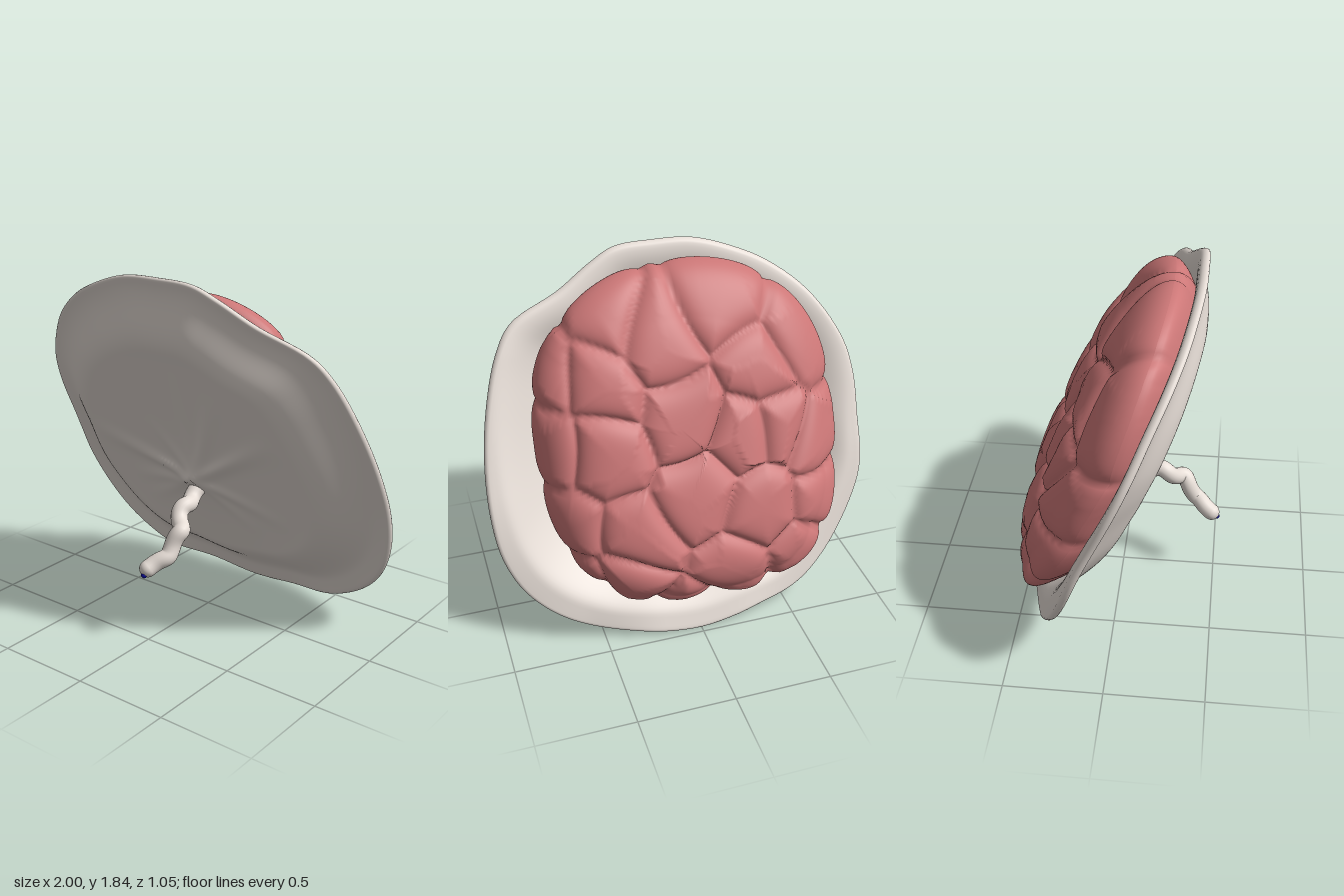
import * as THREE from 'three';

const { smoothstep, lerp } = THREE.MathUtils;
const material = (color) => new THREE.MeshStandardMaterial({ color, side: THREE.DoubleSide });

// The whole disc leans back along this plane
const planeZ = (y) => -0.435 + 0.446 * y;
const gauss = (d, w) => Math.exp(-(d * d) / (w * w));

// Smooth skin over rows of closed rings; point(i, j) returns [x, y, z]
function skin(rows, cols, point) {
  const pos = [], index = [];
  for (let i = 0; i < rows; i++)
    for (let j = 0; j < cols; j++) pos.push(...point(i, j));
  for (let i = 0; i < rows - 1; i++)
    for (let j = 0; j < cols; j++) {
      const k = (j + 1) % cols;
      const a = i * cols + j, c = i * cols + k, b = a + cols, d = c + cols;
      index.push(a, c, b, c, d, b);
    }
  const g = new THREE.BufferGeometry();
  g.setAttribute('position', new THREE.Float32BufferAttribute(pos, 3));
  g.setIndex(index);
  g.computeVertexNormals();
  return g;
}

// Wavy outline of the sheet, clockwise from the top
const rim = new THREE.CatmullRomCurve3([
  [0, 1.82], [0.2, 1.81], [0.33, 1.75], [0.5, 1.65], [0.75, 1.54], [0.84, 1.42], [0.92, 1.2],
  [0.97, 0.95], [0.98, 0.7], [0.95, 0.5], [0.87, 0.33], [0.74, 0.2], [0.55, 0.1], [0.3, 0.05],
  [0, 0.02], [-0.3, 0.06], [-0.55, 0.1], [-0.74, 0.24], [-0.89, 0.45], [-0.97, 0.65],
  [-0.98, 0.9], [-0.98, 1.1], [-0.94, 1.27], [-0.79, 1.5], [-0.59, 1.66], [-0.4, 1.75], [-0.2, 1.81],
].map(([x, y]) => new THREE.Vector3(x, y, 0)), true);
const rimCols = 160, midY = 0.9;
const outline = Array.from({ length: rimCols }, (_, j) => {
  const p = rim.getPoint(j / rimCols), dx = p.x, dy = p.y - midY, len = Math.hypot(dx, dy);
  return { len, ux: dx / len, uy: dy / len };
});

// Shallow tray: flat floor, sloping wall, flange that is wider at the bottom
function trayDepth(s, y) {
  const upper = smoothstep(y, 0.3, 1.6);
  return 0.165 * (1 - smoothstep(s, 0.67 - 0.04 * upper, 0.92 + 0.1 * upper));
}

// Tray depth under any point, from its fraction of the way to the rim
function depthAt(x, y) {
  let best = -Infinity, len = 1;
  for (const o of outline) {
    const d = x * o.ux + (y - midY) * o.uy;
    if (d > best) { best = d; len = o.len; }
  }
  return trayDepth(best / len, y);
}

// Folds radiating from the cord: [angle, length, height]
const folds = [[0.55, 0.65, 0.03], [1.15, 0.6, 0.018], [1.5, 0.65, 0.013], [2.9, 0.75, 0.03],
  [3.35, 0.5, 0.022], [3.65, 0.5, 0.02], [-0.35, 0.55, 0.018], [-0.8, 0.4, 0.013], [2.2, 0.4, 0.012]];

function foldHeight(x, y) {
  const dy = y - 0.75;
  let h = 0.06 * Math.exp(-Math.hypot(x, dy) / 0.12);
  for (const [angle, length, height] of folds) {
    const along = x * Math.cos(angle) + dy * Math.sin(angle);
    const across = -x * Math.sin(angle) + dy * Math.cos(angle);
    if (along > 0 && along < length)
      h += height * gauss(across, 0.025 + 0.05 * along) * Math.sin(Math.PI * Math.sqrt(along / length));
  }
  return h;
}

function membraneGeometry() {
  const n = 60, bead = 8;
  return skin(2 * n + bead, rimCols, (i, j) => {
    const o = outline[j];
    const front = i < n, back = i >= n + bead;
    const s = front ? i / n : back ? (2 * n + bead - 1 - i) / n : 1;
    // rounded lip between the two faces
    const a = front || back ? 0 : (Math.PI * (i - n)) / (bead - 1);
    const reach = o.len * s + 0.02 * Math.sin(a);
    const x = o.ux * reach, y = midY + o.uy * reach;
    // lower corners and top edge curl forward
    const corners = 0.055 * smoothstep(Math.abs(x), 0.2, 0.6) * (1 - smoothstep(y, 0.2, 0.8));
    const top = 0.022 * smoothstep(y, 1.4, 1.75);
    let z = planeZ(y) + trayDepth(s, y) + (corners + top) * s ** 4 + foldHeight(x, y) * (1 - s ** 6);
    z -= back ? 0.045 : 0.0225 * (1 - Math.cos(a));
    return [x, y, z];
  });
}

// Centres of the lobes
const lobes = [[-0.26, 1.63], [-0.71, 1.4], [0.07, 1.5], [0.35, 1.62], [-0.38, 1.27], [0.43, 1.34],
  [0.66, 1.42], [0.03, 1.18], [-0.26, 1.02], [-0.45, 1.05], [-0.7, 0.95], [0.46, 1.01], [0.74, 1.02],
  [-0.02, 0.8], [-0.36, 0.64], [-0.72, 0.62], [0.66, 0.66], [0.3, 0.6], [-0.12, 0.36], [0.36, 0.36],
  [-0.58, 0.36], [0.68, 0.34], [0.12, 0.18]];

// 0 in the creases between lobes, near 1 on the lobes
function lobeHeight(px, py) {
  const x = px + 0.03 * Math.sin(7 * py), y = py + 0.03 * Math.sin(8 * px + 1);
  const [m, n] = lobes.map(([a, b]) => ({ a, b, q: (x - a) ** 2 + (y - b) ** 2 }))
    .sort((p, q) => p.q - q.q);
  const edge = (n.q - m.q) / (2 * Math.hypot(m.a - n.a, m.b - n.b));
  return 1 - Math.exp(-edge / 0.04);
}

function massGeometry() {
  const cols = 220, frontRows = 24, backRows = 80;
  return skin(frontRows + backRows, cols, (i, j) => {
    const a = Math.PI / 2 - (2 * Math.PI * j) / cols;
    const c = Math.cos(a), s = Math.sin(a);
    const front = i < frontRows;
    const t = front ? i / (frontRows - 1) : 1 - (i - frontRows) / (backRows - 1);
    const r = Math.sin((t * Math.PI) / 2);
    const e = 2.6 - 0.3 * s;
    const round = (Math.abs(c) ** e + Math.abs(s) ** e) ** (-1 / e);
    let x = -0.05 + 0.785 * c * round * r;
    let y = 0.99 + 0.8 * s * round * r;
    const lobe = lobeHeight(x, y);
    const pinch = 1 - 0.04 * (1 - lobe) * r * r;
    x = -0.05 + (x + 0.05) * pinch;
    y = 0.99 + (y - 0.99) * pinch;
    // underside rests in the tray, the back bulges into lobes
    const depth = depthAt(x, y);
    const edge = Math.min(depth - 0.13, 0);
    const dome = (power) => Math.sqrt(Math.max(0, 1 - r ** power));
    const z = front
      ? lerp(edge, depth - 0.035, dome(10))
      : lerp(edge, -0.28 - 0.055 * lobe, dome(4.2 + 0.8 * s));
    return [x, y, planeZ(y) + z];
  });
}

// Corkscrew cord with rounded end and a small tip
function makeCord() {
  const cord = new THREE.Group();
  cord.name = 'cord';
  const path = new THREE.CatmullRomCurve3([[-0.01, 0.72, 0.02], [-0.01, 0.67, 0.1], [0, 0.63, 0.2],
    [0.05, 0.57, 0.3], [0.06, 0.48, 0.36], [0.01, 0.41, 0.43], [-0.015, 0.385, 0.475]]
    .map((p) => new THREE.Vector3(...p)));
  const twisted = path.getSpacedPoints(60).map((p, i) => {
    const a = (i / 60) * Math.PI * 7, k = 0.016 * Math.sin((Math.PI * i) / 60);
    return p.add(new THREE.Vector3(Math.cos(a) * k, Math.sin(a) * k, 0));
  });
  const skinMaterial = material(0xe6ddd6);
  const tube = new THREE.Mesh(
    new THREE.TubeGeometry(new THREE.CatmullRomCurve3(twisted), 120, 0.044, 20), skinMaterial);
  tube.name = 'cordTube';
  const end = new THREE.Mesh(new THREE.SphereGeometry(0.044, 20, 14), skinMaterial);
  end.name = 'cordEnd';
  end.position.copy(twisted[60]);
  const tip = new THREE.Mesh(new THREE.SphereGeometry(0.016, 12, 8), material(0x0a0aa0));
  tip.name = 'cordTip';
  tip.position.set(-0.015, 0.36, 0.505);
  cord.add(tube, end, tip);
  return cord;
}

export function createModel() {
  const model = new THREE.Group();
  const membrane = new THREE.Mesh(membraneGeometry(), material(0xe6ddd6));
  membrane.name = 'membrane';
  const mass = new THREE.Mesh(massGeometry(), material(0xcc7777));
  mass.name = 'lobedMass';
  model.add(membrane, mass, makeCord());
  return model;
}
